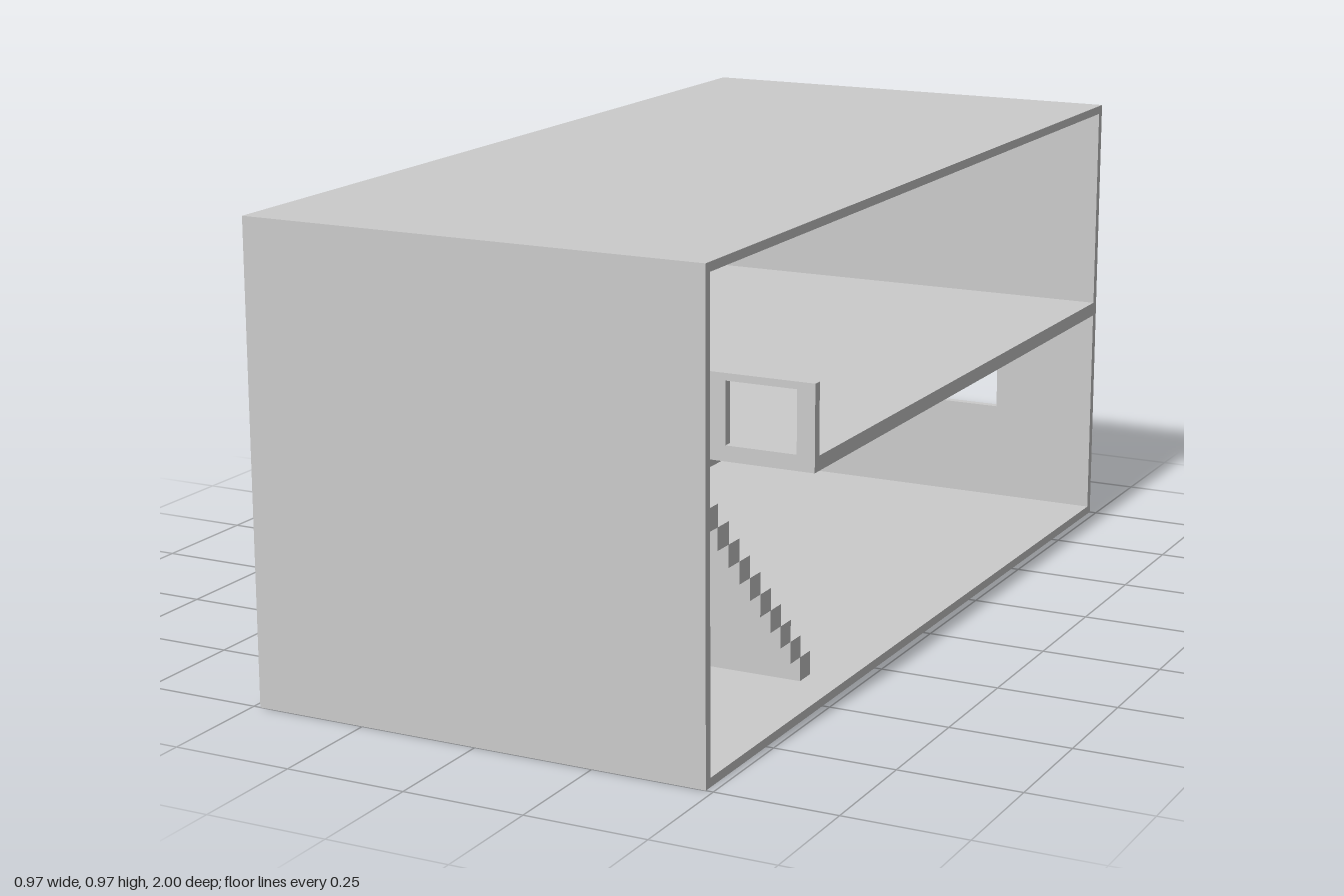
import * as THREE from 'three';

export function createModel() {
  const model = new THREE.Group();
  const mat = new THREE.MeshStandardMaterial({ color: 0xcccccc, flatShading: true });
  const X = 0.485, H = 0.97, T = 0.018; // half width, height, wall thickness

  // box given by its minimum and maximum on each axis
  const box = (name, x0, x1, y0, y1, z0, z1, parent = model) => {
    const mesh = new THREE.Mesh(new THREE.BoxGeometry(x1 - x0, y1 - y0, z1 - z0), mat);
    mesh.position.set((x0 + x1) / 2, (y0 + y1) / 2, (z0 + z1) / 2);
    mesh.name = name;
    parent.add(mesh);
  };

  const rect = (C, x0, x1, y0, y1) => new C([[x0, y0], [x1, y0], [x1, y1], [x0, y1]]
    .map(([x, y]) => new THREE.Vector2(x, y)));

  // panel in its own xy plane with rectangular openings
  const panel = (name, outer, holes, depth) => {
    const shape = rect(THREE.Shape, ...outer);
    shape.holes = holes.map(h => rect(THREE.Path, ...h));
    const mesh = new THREE.Mesh(new THREE.ExtrudeGeometry(shape, { depth, bevelEnabled: false }), mat);
    mesh.name = name;
    model.add(mesh);
    return mesh;
  };

  // outer shell, open on the +x side
  box('groundFloor', -X, X, 0, T, -1, 1);
  box('roof', -X, X, H - T, H, -1, 1);
  box('frontWall', -X, X, T, H - T, 1 - T, 1);
  box('sideWall', -X, -X + T, T, H - T, -1 + T, 1 - T);
  panel('backWall', [-X, X, T, H - T], [[0.053, 0.25, 0.235, 0.325]], T).position.z = -1;

  // upper floor wrapping round the stairwell
  const edgeX = -0.095, edgeZ = 0.545, floorY = 0.51;
  box('upperFloor', -X + T, X, 0.48, floorY, -1 + T, edgeZ);
  box('upperFloorSide', -X + T, edgeX, 0.48, floorY, edgeZ, 1 - T);

  // railings along the two edges of the stairwell
  const railTop = 0.655, openTop = 0.64;
  panel('frontRailing', [edgeX - 0.02, X, floorY, railTop],
    [0, 1, 2].map(i => [0.296 - 0.2 * i, 0.447 - 0.2 * i, floorY + 0.002, openTop])
      .map(([a, b, c, d]) => [Math.max(a, edgeX + 0.005), b, c, d]), 0.02).position.z = edgeZ - 0.02;
  const side = panel('sideRailing', [-0.875, -edgeZ, floorY, railTop],
    [[-0.86, -0.73, floorY + 0.002, openTop], [-0.705, -0.55, floorY + 0.002, openTop]], 0.02);
  side.rotation.y = Math.PI / 2;
  side.position.x = edgeX - 0.02;

  // landing and open staircase
  const stairRight = 0.406;
  box('landing', edgeX, stairRight, 0.475, 0.517, 0.84, 1 - T);
  const stairs = new THREE.Group();
  stairs.name = 'staircase';
  model.add(stairs);
  const n = 10, rise = 0.0453, run = 0.045;
  for (let i = 0; i < n; i++) {
    const top = 0.475 - i * rise, z = 0.84 - i * run;
    const bottom = i === n - 1 ? T : top - rise;
    box('step', edgeX, stairRight, bottom, top, z - run, z + 0.001, stairs);
  }
  return model;
}
